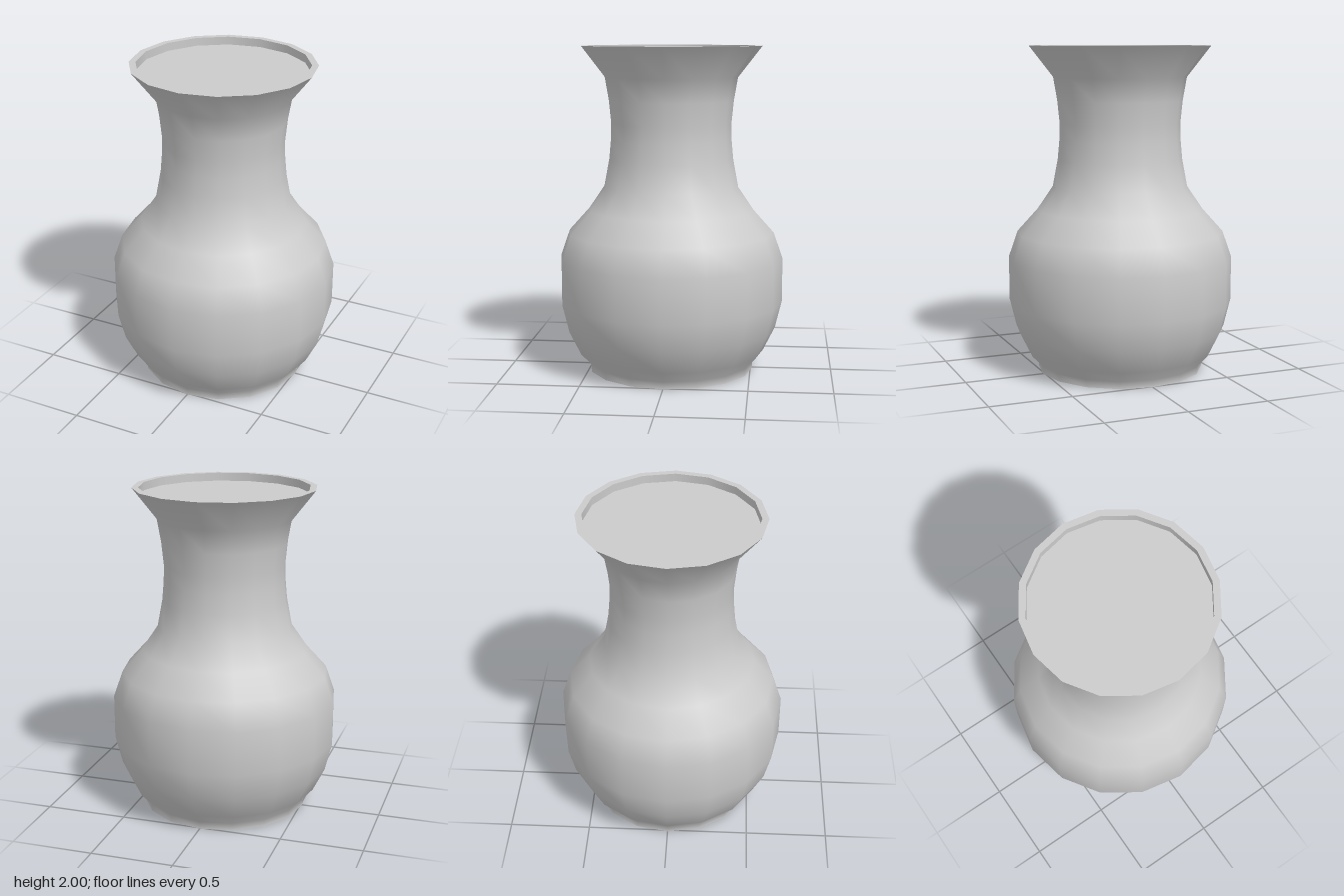
import * as THREE from 'three';

const SIDES = 16;

export function createModel() {
  const vase = new THREE.Group();
  vase.name = 'vase';
  const material = new THREE.MeshStandardMaterial({ color: 0xcccccc });

  // Turns a [radius, height] profile; separate parts keep crisp edges between them.
  const turn = (name, profile) => {
    const points = profile.map(([r, y]) => new THREE.Vector2(r, y));
    const mesh = new THREE.Mesh(new THREE.LatheGeometry(points, SIDES), material);
    mesh.name = name;
    vase.add(mesh);
  };

  // Flat underside
  turn('base', [[0, 0], [0.512, 0]]);

  // Foot, round belly, narrow neck and flared mouth
  turn('body', [
    [0.512, 0], [0.512, 0.045], [0.578, 0.115], [0.65, 0.26], [0.692, 0.43],
    [0.692, 0.7], [0.636, 0.86], [0.51, 1.0], [0.415, 1.14], [0.383, 1.31],
    [0.372, 1.43], [0.37, 1.53], [0.384, 1.67], [0.408, 1.81], [0.555, 2],
  ]);

  // Flat lip, short inner wall and the surface closing the mouth
  turn('rim', [[0.555, 2], [0.515, 2]]);
  turn('innerWall', [[0.515, 2], [0.515, 1.95]]);
  turn('mouthSurface', [[0.515, 1.95], [0, 1.95]]);

  return vase;
}
